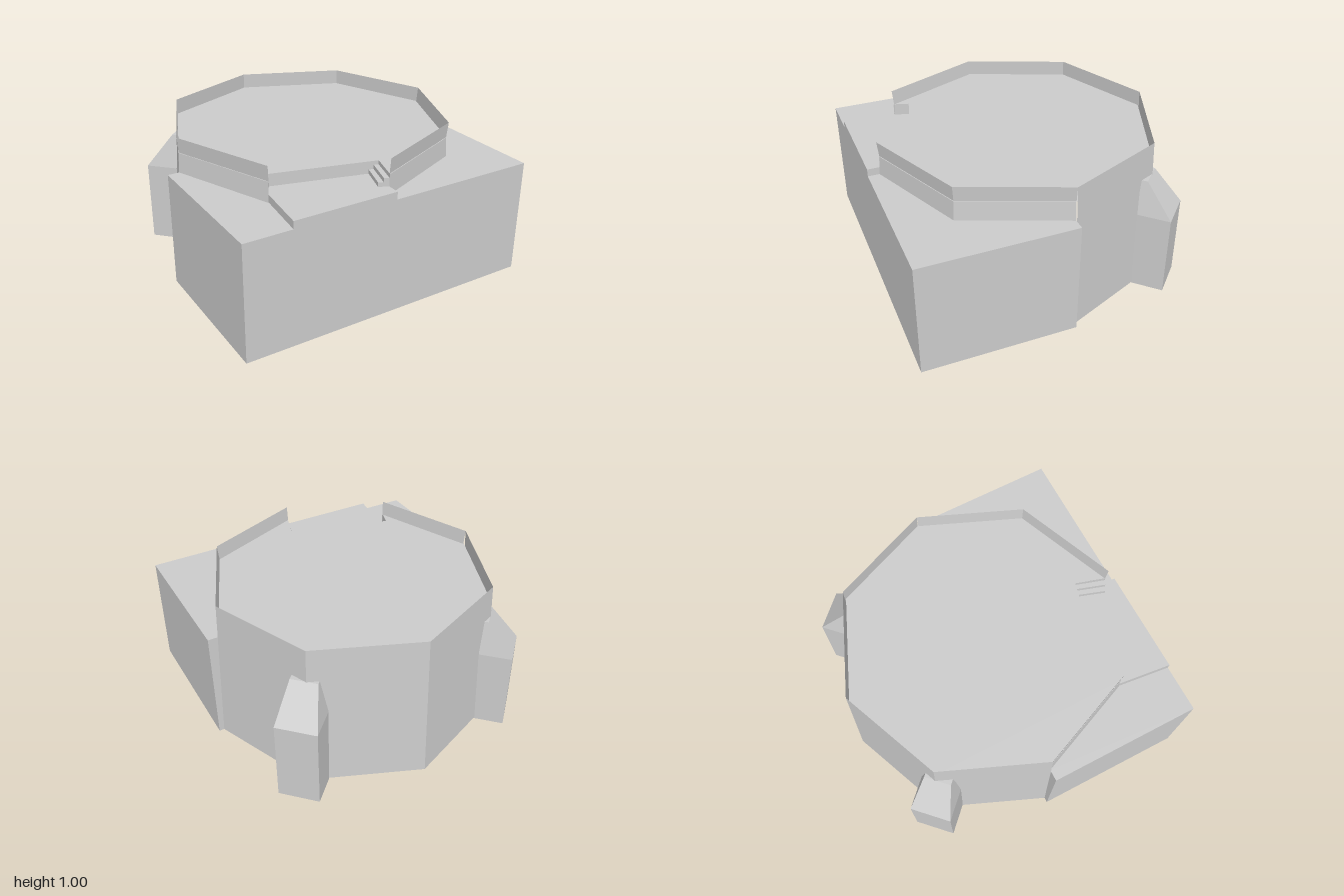
import * as THREE from 'three';

const stone = new THREE.MeshStandardMaterial({ color: 0xcccccc, side: THREE.DoubleSide });
stone.name = 'paleStone';

const CZ = -0.02, BASE = 0.01, TERRACE = 0.77, LANDING = 0.82, FLOOR = 0.9, TOP = 1;

// Corner k of the octagonal tower as [x, z]; 0 is the front, 2 the left side
const oct = (k, r) => [r * Math.sin(k * Math.PI / 4), CZ + r * Math.cos(k * Math.PI / 4)];
const arc = (from, to, r) => Array.from({ length: to - from + 1 }, (_, i) => oct(from + i, r));
const mix = (a, b, t) => [a[0] + (b[0] - a[0]) * t, a[1] + (b[1] - a[1]) * t];

// Flat-faced skin through cross-sections { y, pts: [x, z] }
function loft(sections, closed = false) {
  const pos = [];
  for (let s = 0; s < sections.length - 1; s++) {
    const lo = sections[s], hi = sections[s + 1], n = lo.pts.length;
    for (let i = 0; i < (closed ? n : n - 1); i++) {
      const j = (i + 1) % n;
      const p = (sec, k) => [sec.pts[k][0], sec.y, sec.pts[k][1]];
      const a = p(lo, i), b = p(lo, j), c = p(hi, j), d = p(hi, i);
      pos.push(...a, ...b, ...c, ...a, ...c, ...d);
    }
  }
  const g = new THREE.BufferGeometry();
  g.setAttribute('position', new THREE.Float32BufferAttribute(pos, 3));
  g.computeVertexNormals();
  return g;
}

const wall = (pts, y0, y1) => loft([{ y: y0, pts }, { y: y1, pts }]);
const shapeOf = pts => new THREE.Shape(pts.map(([x, z]) => new THREE.Vector2(x, -z)));
const flat = (pts, y) => new THREE.ShapeGeometry(shapeOf(pts)).rotateX(-Math.PI / 2).translate(0, y, 0);
const prism = (pts, y0, y1) =>
  new THREE.ExtrudeGeometry(shapeOf(pts), { depth: y1 - y0, bevelEnabled: false })
    .rotateX(-Math.PI / 2).translate(0, y0, 0);

export function createModel() {
  const model = new THREE.Group();
  model.name = 'octagonalBuilding';
  const add = (name, geometry, parent = model) => {
    const m = new THREE.Mesh(geometry, stone);
    m.name = name;
    parent.add(m);
    return m;
  };

  // Tower: sloping back half, slightly pinched parapet in front
  add('towerBackWall', loft([
    { y: BASE, pts: arc(2, 6, 0.967) },
    { y: TOP, pts: arc(2, 6, 0.925) },
  ]));
  for (const [name, from, to] of [['leftParapet', 0, 2], ['rightParapet', 6, 7]]) {
    add(name, loft([
      { y: TERRACE, pts: arc(from, to, 0.925) },
      { y: FLOOR, pts: arc(from, to, 0.915) },
      { y: TOP, pts: arc(from, to, 0.925) },
    ]));
  }

  // Roof floor with the cut-out for the entrance
  const cutRight = [-0.62, 0.53], cutLeft = [0.06, 0.705];
  const stepA = [0, 0.69], stepB = [-0.06, 0.87], gapLeft = oct(0, 0.918), gapRight = oct(7, 0.92);
  add('roofFloor', flat([...arc(0, 7, 0.92), cutRight, cutLeft], FLOOR));
  add('roofCutRiser', wall([gapRight, cutRight, cutLeft], LANDING, FLOOR));

  // Front block: open underneath, with short back walls beside the tower
  add('blockFrontWall', wall([[-1, 0.98], [1, 0.98]], BASE, TERRACE));
  for (const s of [1, -1]) {
    add('blockSideWall', wall([[s, 0.98], [s, CZ]], BASE, TERRACE));
    add('blockBackWall', wall([[s, CZ], [s * 0.5, CZ]], BASE, TERRACE));
  }
  add('leftTerrace', flat([[0, 0.98], [1, 0.98], [1, CZ], oct(2, 0.925), oct(1, 0.925), oct(0, 0.925)], TERRACE));
  add('rightTerrace', flat([[-1, 0.98], [-0.69, 0.98], gapRight, oct(6, 0.925), [-1, CZ]], TERRACE));

  // Entrance landing flush with the block front
  add('landing', flat([[-0.69, 0.98], [0, 0.98], gapLeft, stepB, stepA, cutRight, gapRight], LANDING));
  add('landingRightWall', wall([gapRight, [-0.69, 0.98]], BASE, LANDING));
  add('landingFrontWall', wall([[-0.69, 0.98], [0, 0.98], gapLeft], TERRACE, LANDING));

  // Small steps from the landing up to the roof floor
  for (let i = 0; i < 2; i++) {
    const t0 = i / 2, t1 = (i + 1) / 2;
    add('step', prism([
      mix(stepA, cutLeft, t0), mix(stepB, gapLeft, t0),
      mix(stepB, gapLeft, t1), mix(stepA, cutLeft, t1),
    ], LANDING - 0.03, LANDING + 0.027 * (i + 1)));
  }
  add('topStepRiser', wall([gapLeft, cutLeft], LANDING, FLOOR));

  // Chamfered buttresses on the two back corners
  const rect = (r0, r1, w) => [[-w, r1], [w, r1], [w, r0], [-w, r0]];
  for (const s of [1, -1]) {
    const buttress = new THREE.Group();
    buttress.name = s > 0 ? 'leftButtress' : 'rightButtress';
    add('buttressBody', loft([
      { y: 0, pts: rect(0.915, 1.125, 0.133) },
      { y: 0.55, pts: rect(0.91, 1.125, 0.133) },
      { y: 0.78, pts: rect(0.9, 0.945, 0.087) },
    ], true), buttress);
    add('buttressTop', flat(rect(0.9, 0.945, 0.087), 0.78), buttress);
    add('buttressBottom', flat(rect(0.915, 1.125, 0.133), 0), buttress);
    buttress.rotation.y = s * Math.PI * 0.75;
    model.add(buttress);
  }
  return model;
}
